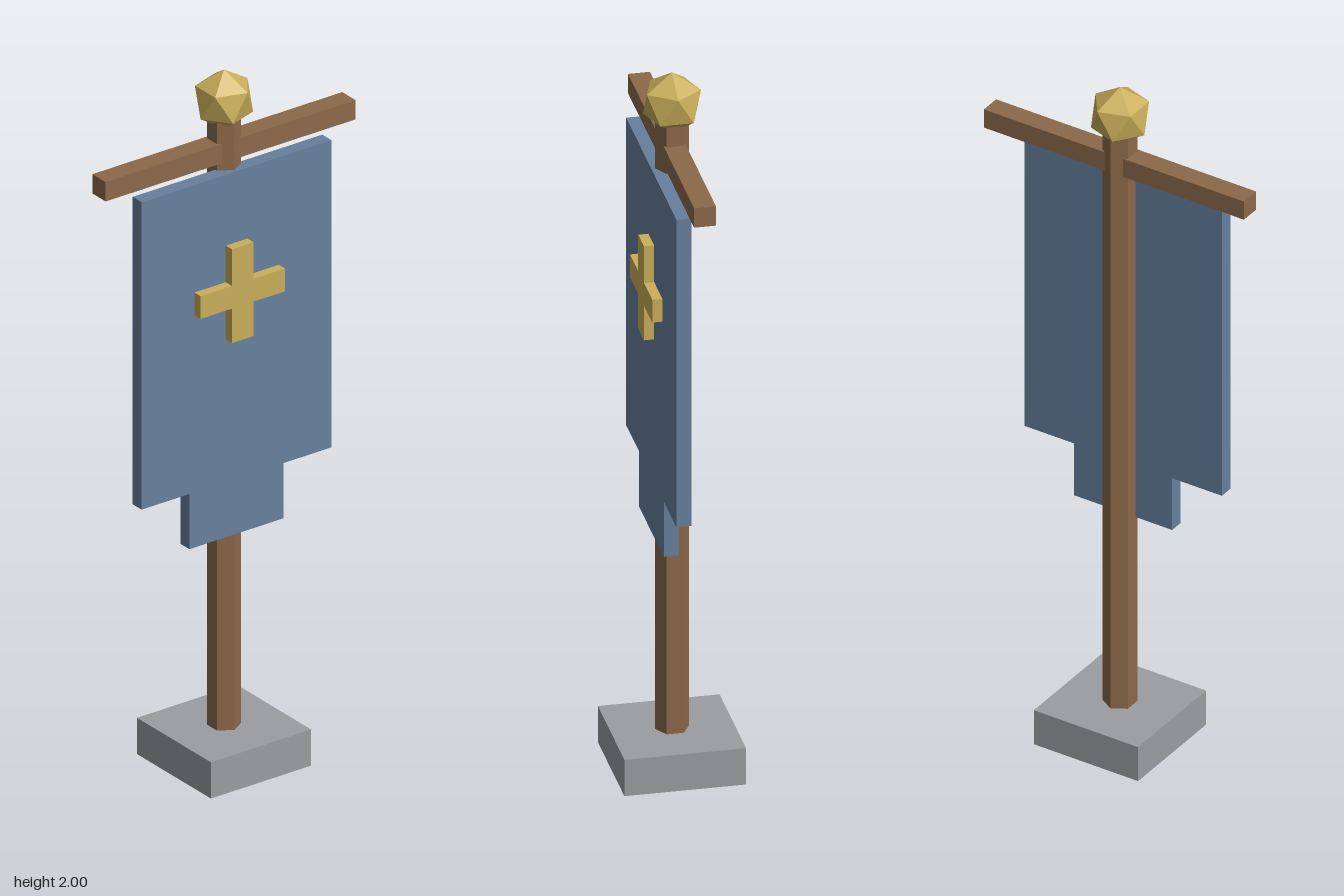
import * as THREE from 'three';

const mat = (name, color) => {
  const m = new THREE.MeshStandardMaterial({ color, flatShading: true });
  m.name = name;
  return m;
};

// Symmetric flat plate: right-hand outline mirrored in x, extruded from z0 to z1
function plate(half, z0, z1) {
  const pts = [...half, ...half.map(([x, y]) => [-x, y]).reverse()];
  const shape = new THREE.Shape(pts.map(([x, y]) => new THREE.Vector2(x, y)));
  return new THREE.ExtrudeGeometry(shape, { depth: z1 - z0, bevelEnabled: false }).translate(0, 0, z0);
}

export function createModel() {
  const group = new THREE.Group();
  group.name = 'bannerStand';
  const wood = mat('wood', 0x8c694a);
  const cloth = mat('blueCloth', 0x67809e);
  const gold = mat('gold', 0xc9ae5a);
  const stone = mat('stone', 0x9b9da1);

  const add = (name, geometry, material, y = 0) => {
    const mesh = new THREE.Mesh(geometry, material);
    mesh.name = name;
    mesh.position.y = y;
    group.add(mesh);
  };

  // Stone foot
  add('base', new THREE.BoxGeometry(0.323, 0.105, 0.323), stone, 0.0525);

  // Six-sided pole and the bar across it
  add('pole', new THREE.CylinderGeometry(0.045, 0.045, 1.86, 6), wood, 0.945);
  add('crossbar', new THREE.BoxGeometry(0.806, 0.056, 0.058), wood, 1.776);

  // Faceted finial, turned so one corner points straight up
  const finial = new THREE.IcosahedronGeometry(0.0845, 0);
  finial.rotateZ(-Math.atan(2 / (1 + Math.sqrt(5))));
  add('finial', finial, gold, 1.9155);

  // Hanging cloth with a narrower tail
  add('banner', plate([[0.152, 0.677], [0.152, 0.837], [0.306, 0.837], [0.306, 1.727]], 0.015, 0.055), cloth);

  // Raised cross on the cloth
  add('crossEmblem', plate([
    [0.035, 1.25], [0.035, 1.35], [0.136, 1.35],
    [0.136, 1.416], [0.035, 1.416], [0.035, 1.522],
  ], 0.054, 0.082), gold);

  return group;
}
